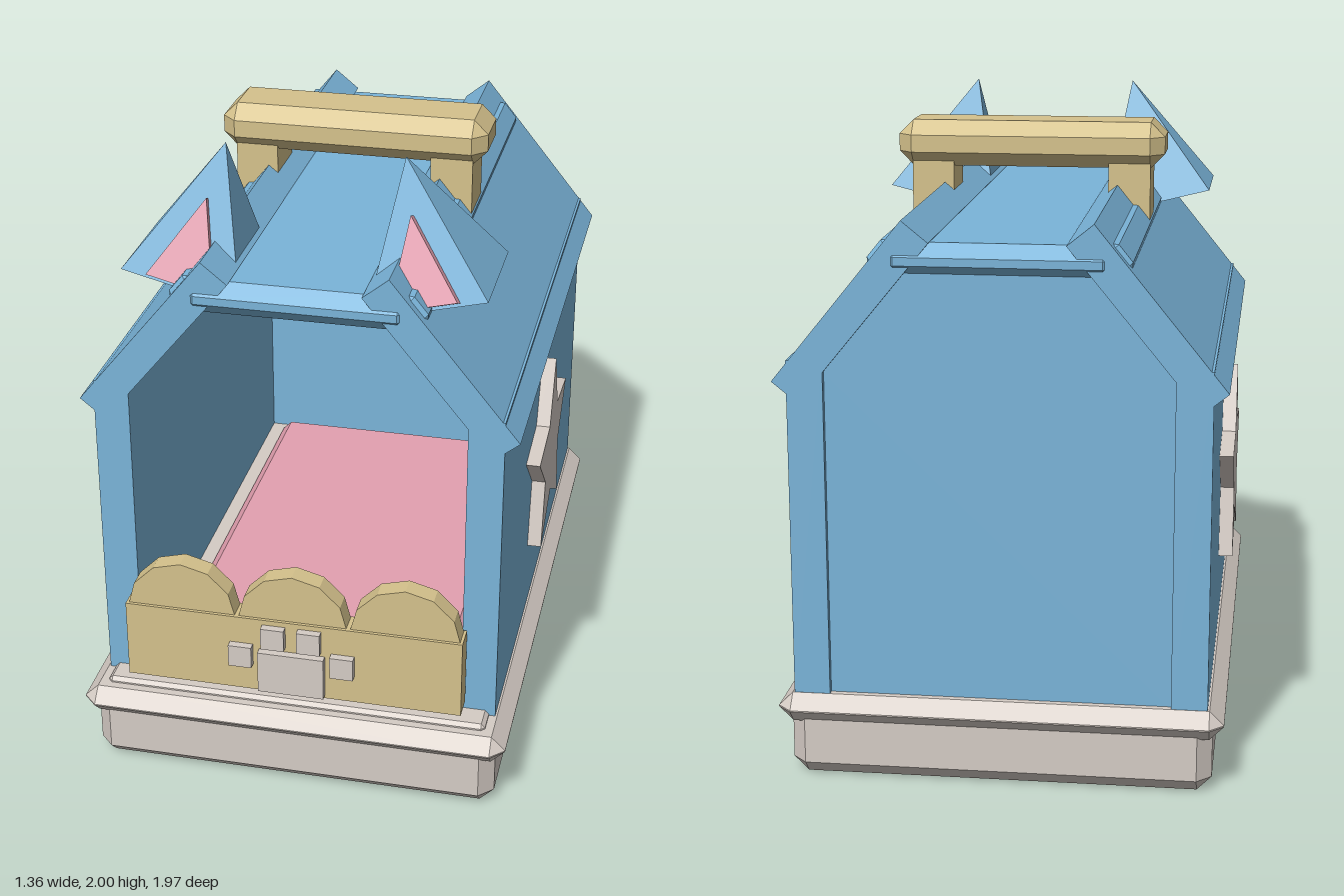
import * as THREE from 'three';
import { ConvexGeometry } from 'three/addons/geometries/ConvexGeometry.js';

const mat = (name, color) => Object.assign(new THREE.MeshStandardMaterial({ color }), { name });

export function createModel() {
  const blue = mat('sky blue', 0x7ab4d9);
  const cream = mat('warm grey', 0xd5ccc5);
  const tan = mat('tan', 0xd5c28c);
  const pink = mat('pink', 0xe3a0b0);
  const model = new THREE.Group();
  model.name = 'petHouse';

  const add = (name, geometry, material, parent = model) => {
    const mesh = new THREE.Mesh(geometry, material);
    mesh.name = name;
    parent.add(mesh);
    return mesh;
  };
  const flat = (g) => {
    const f = g.toNonIndexed();
    f.computeVertexNormals();
    return f;
  };
  // Boxes are given by their limits on each axis
  const box = (x0, x1, y0, y1, z0, z1) =>
    new THREE.BoxGeometry(x1 - x0, y1 - y0, z1 - z0)
      .translate((x0 + x1) / 2, (y0 + y1) / 2, (z0 + z1) / 2);
  const bevelBox = (x0, x1, y0, y1, z0, z1, c) => {
    const h = [(x1 - x0) / 2, (y1 - y0) / 2, (z1 - z0) / 2];
    const points = [];
    for (const sx of [-1, 1]) for (const sy of [-1, 1]) for (const sz of [-1, 1]) {
      for (let k = 0; k < 3; k++) {
        const d = h.map((v, i) => (i === k ? v : v - c));
        points.push(new THREE.Vector3(sx * d[0], sy * d[1], sz * d[2]));
      }
    }
    return new ConvexGeometry(points).translate((x0 + x1) / 2, (y0 + y1) / 2, (z0 + z1) / 2);
  };
  const prism = (points, z0, z1) =>
    new THREE.ExtrudeGeometry(new THREE.Shape(points.map(([x, y]) => new THREE.Vector2(x, y))),
      { depth: z1 - z0, bevelEnabled: false }).translate(0, 0, z0);

  // Base, flared rim and floor
  add('base', bevelBox(-0.645, 0.645, 0, 0.24, -0.95, 0.95, 0.045), cream);
  add('rim', bevelBox(-0.68, 0.68, 0.178, 0.27, -0.985, 0.985, 0.044), cream);
  add('floor', bevelBox(-0.61, 0.61, 0.2, 0.287, -0.91, 0.915, 0.012), cream);
  add('cushion', bevelBox(-0.47, 0.47, 0.22, 0.322, -0.85, 0.8, 0.03), pink);

  // Back wall, slightly recessed, and the flat top of the roof
  add('backWall', prism([[-0.53, 0.25], [0.53, 0.25], [0.53, 1.28], [0.23, 1.64],
    [-0.23, 1.64], [-0.53, 1.28]], -0.92, -0.86), blue);
  add('roofTop', bevelBox(-0.345, 0.345, 1.56, 1.665, -0.945, 0.837, 0.04), blue);

  // Star outline in the side plane
  const star = Array.from({ length: 10 }, (_, i) => {
    const r = i % 2 ? 0.158 : 0.335, a = Math.PI / 2 + i * Math.PI / 5;
    return [r * Math.cos(a), r * Math.sin(a)];
  });

  const earW = 0.1875, earH = 0.413;
  for (const s of [1, -1]) {
    const side = s > 0 ? 'left' : 'right';
    const span = (a, b) => (s > 0 ? [a, b] : [-b, -a]);

    // Wall and sloping roof slab
    add(side + 'Wall', box(...span(0.52, 0.63), 0.25, 1.31, -0.94, 0.83), blue);
    add(side + 'Roof', prism([[0.675, 1.245], [0.28, 1.732], [0.2, 1.667], [0.597, 1.182]]
      .map(([x, y]) => [s * x, y]), -0.94, 0.83), blue);

    // Raised strip along the slope
    const strip = add(side + 'RoofStrip',
      bevelBox(-0.048, 0.048, -0.03, 0.03, -0.91, 0.805, 0.015), blue);
    strip.position.set(s * 0.345, 1.623, 0);
    strip.rotation.z = -s * 0.889;

    // Star on the side wall
    const badge = add(side + 'Star', prism(star, 0, 0.055), cream);
    badge.position.set(s * 0.62, 0.785, 0);
    badge.rotation.y = s * Math.PI / 2;

    // Ear leaning inwards, with a raised inner panel on its front
    const ear = new THREE.Group();
    ear.name = side + 'Ear';
    ear.position.set(s * 0.372, 1.6, 0.55);
    ear.rotation.z = s * 0.245;
    add('earShell', flat(new THREE.ConeGeometry(earW * Math.SQRT2, earH, 4)
      .rotateY(Math.PI / 4).translate(0, earH / 2, 0)), blue, ear);
    const inner = add('innerEar', prism([[-0.105, 0.01], [0.105, 0.01], [0, 0.28]], -0.02, 0.034), pink, ear);
    inner.position.z = earW;
    inner.rotation.x = -Math.atan2(earW, earH);
    model.add(ear);

    // Handle post
    add(side + 'HandlePost', box(...span(0.25, 0.385), 1.58, 1.83, -0.15, 0.035), tan);
  }
  add('handleBar', bevelBox(-0.43, 0.43, 1.785, 1.932, -0.18, 0.065, 0.046), tan);

  // Front gate with three scallops
  add('gate', box(-0.535, 0.535, 0.32, 0.582, 0.84, 0.92), tan);
  for (const x of [-0.355, 0, 0.355]) {
    add('gateScallop', flat(new THREE.CylinderGeometry(0.175, 0.175, 0.065, 12)
      .rotateX(Math.PI / 2).translate(x, 0.567, 0.8775)), tan);
  }

  // Paw print made of blocks
  add('pawPad', box(-0.105, 0.105, 0.332, 0.475, 0.91, 0.945), cream);
  for (const s of [1, -1]) {
    for (const [x, y] of [[0.162, 0.452], [0.057, 0.528]]) {
      add('pawToe', box(s * x - 0.037, s * x + 0.037, y - 0.037, y + 0.037, 0.91, 0.945), cream);
    }
  }
  return model;
}
